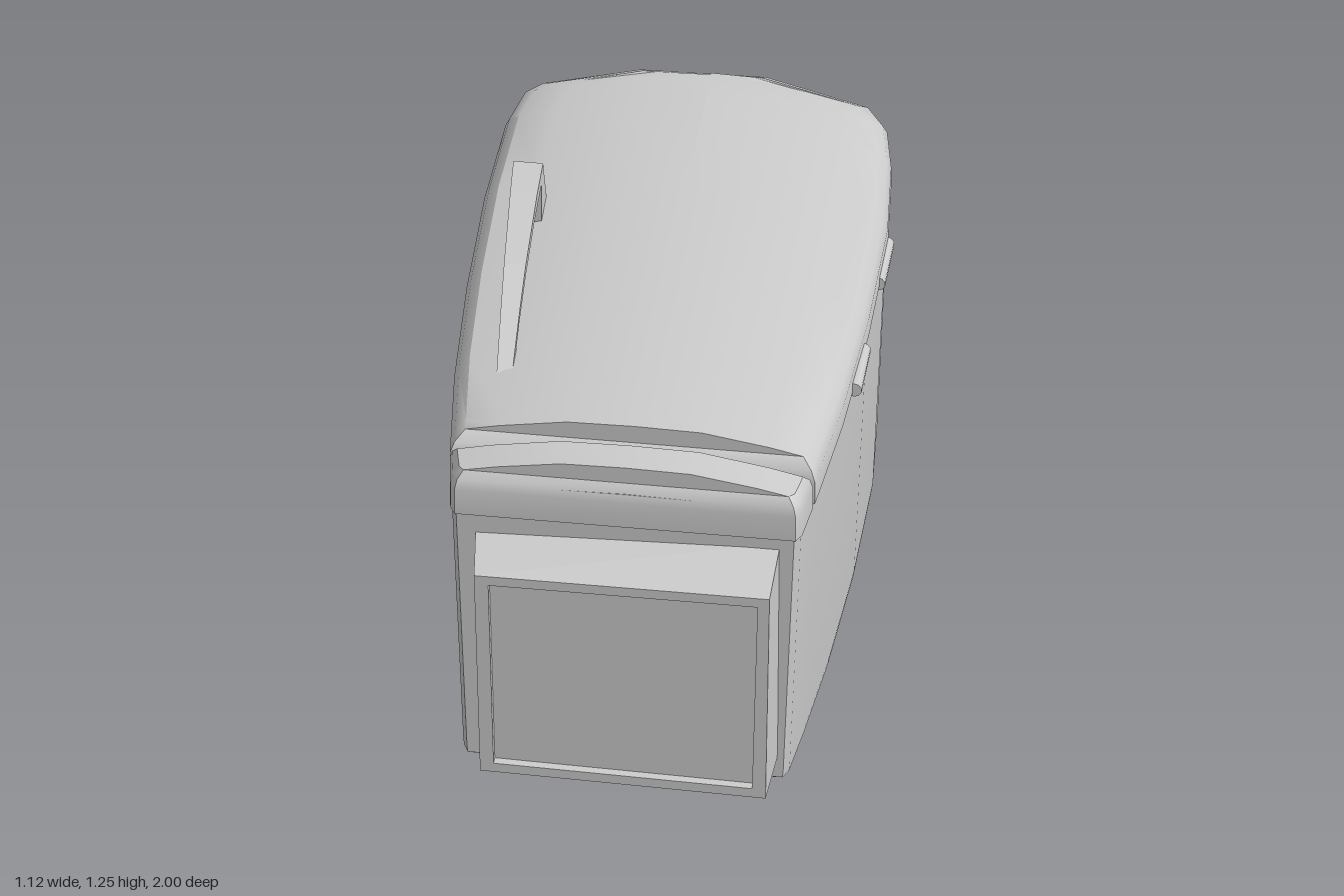
import * as THREE from 'three';
import { toCreasedNormals } from 'three/addons/utils/BufferGeometryUtils.js';

const material = new THREE.MeshStandardMaterial({ color: 0xcccccc });

// Plan of the case as [x, z], counterclockwise from above
const PLAN = [
  [0.47, 0.82], [0.485, 0.79], [0.505, 0.6], [0.53, 0.3], [0.547, -0.1], [0.545, -0.5],
  [0.52, -0.76], [0.49, -0.9], [0.44, -0.96], [0.15, -1], [-0.2, -0.99], [-0.47, -0.96],
  [-0.515, -0.93], [-0.545, -0.82], [-0.56, -0.5], [-0.555, -0.1], [-0.535, 0.3],
  [-0.505, 0.6], [-0.48, 0.79], [-0.465, 0.82],
];

// Skin over a list of equal-length rings of [x, y, z]
function loft(rings, crease = 0.5) {
  const n = rings[0].length, index = [];
  for (let r = 0; r < rings.length - 1; r++) {
    for (let i = 0; i < n; i++) {
      const a = r * n + i, b = r * n + (i + 1) % n;
      index.push(a, b, b + n, a, b + n, a + n);
    }
  }
  const g = new THREE.BufferGeometry();
  g.setAttribute('position', new THREE.Float32BufferAttribute(rings.flat(2), 3));
  g.setIndex(index);
  return toCreasedNormals(g, crease);
}

// Piecewise linear lookup
function lerpTable(table, t) {
  const i = Math.max(1, table.findIndex(([k]) => k >= t));
  const [[a, u], [b, v]] = [table[i - 1], table[i]];
  return u + (v - u) * (t - a) / (b - a);
}

const crown = (x, z) => 1.112 - 0.013 * z
  - lerpTable([[0, 0], [0.2, 0.004], [0.4, 0.04], [0.5, 0.065], [2, 0.6]], Math.abs(x));
const seam = (x, z) => 0.93 - 0.015 * z;

// Ring from a plan, pulled in by a distance, narrowed in x, at height y(x, z)
function ring(plan, inset, sx, y) {
  const zs = plan.map((p) => p[1]);
  const zMid = (Math.max(...zs) + Math.min(...zs)) / 2, hz = Math.max(...zs) - zMid;
  return plan.map(([px, pz]) => {
    const x = px * (1 - inset / 0.54) * sx, z = zMid + (pz - zMid) * (1 - inset / hz);
    return [x, typeof y === 'function' ? y(x, z) : y, z];
  });
}

function lidPiece(plan, inset) {
  const lower = (d) => (x, z) => crown(x, z) - d;
  return loft([
    ring(plan, 0, 1, seam), ring(plan, 0, 1, lower(0.045)), ring(plan, inset * 0.3, 1, lower(0.018)),
    ...[1, 0.8, 0.4, 0].map((s) => ring(plan, inset, s, crown)),
  ]);
}

const rectPoints = (x, z, w, d) => [[-1, -1], [1, -1], [1, 1], [-1, 1]]
  .map(([i, j]) => new THREE.Vector2(x + i * w / 2, z + j * d / 2));

export function createModel() {
  const model = new THREE.Group();
  const add = (name, geometry, x = 0, y = 0, z = 0) => {
    const mesh = new THREE.Mesh(geometry, material);
    mesh.name = name;
    mesh.position.set(x, y, z);
    model.add(mesh);
    return mesh;
  };
  const box = (name, w, h, d, x, y, z) => add(name, new THREE.BoxGeometry(w, h, d), x, y, z);

  // Tapered case with a chamfered lower edge
  add('body', loft([
    ring(PLAN, 0.03, 0, 0.085), ring(PLAN, 0.03, 0.93, 0.085), ring(PLAN, 0.005, 0.93, 0.105),
    ring(PLAN, 0.005, 0.935, 0.125), ring(PLAN, 0.005, 1, seam), ring(PLAN, 0.005, 0, seam),
  ]));

  // Lid: groove floor, long rear cover and short front cover
  add('lidBase', loft([
    ring(PLAN, 0.006, 1, seam),
    ...[1, 0.8, 0.4, 0].map((s) => ring(PLAN, 0.006, s, (x, z) => crown(x, z) - 0.075)),
  ]));
  add('rearLid', lidPiece([[0.5, 0.65], ...PLAN.filter((p) => p[1] < 0.62), [-0.5, 0.65]], 0.04));
  add('frontLid', lidPiece([[0.47, 0.82], [0.485, 0.79], [0.497, 0.67],
    [-0.497, 0.67], [-0.48, 0.79], [-0.465, 0.82]], 0.025));

  // Framed screen housing: back, front edge, inner edge, recessed panel
  const quads = [
    [[-0.375, 0.16], [0.42, 0.17], [0.425, 0.885], [-0.41, 0.858], 0.79],
    [[-0.37, 0.187], [0.412, 0.17], [0.423, 0.85], [-0.387, 0.85], 1],
    [[-0.333, 0.215], [0.375, 0.2], [0.39, 0.82], [-0.348, 0.82], 1],
    [[-0.333, 0.215], [0.375, 0.2], [0.39, 0.82], [-0.348, 0.82], 0.975],
    [[0.02, 0.51], [0.02, 0.51], [0.02, 0.51], [0.02, 0.51], 0.975],
  ].map((q) => q.slice(0, 4).map(([x, y]) => [x, y, q[4]]));
  add('screenHousing', loft(quads, 0.1));

  // Arched handle, wider at its rear post
  const profile = [[0.38, 1.06], [0.3, 1.1], [0.2, 1.148], [0.06, 1.2], [-0.2, 1.245], [-0.335, 1.25],
    [-0.42, 1.06], [-0.3, 1.06], [-0.3, 1.205], [-0.14, 1.2], [0.06, 1.165], [0.21, 1.115], [0.31, 1.06]];
  const handle = new THREE.ExtrudeGeometry(
    new THREE.Shape(profile.map(([z, y]) => new THREE.Vector2(z, y))), { depth: 1, bevelEnabled: false });
  handle.rotateY(-Math.PI / 2);
  const p = handle.attributes.position;
  for (let i = 0; i < p.count; i++) {
    const z = p.getZ(i), bow = 0.012 * (z + 0.4) * 1.2;
    p.setX(i, -0.378 + bow + p.getX(i) * (0.063 - 0.055 * z));
  }
  handle.computeVertexNormals();
  add('handle', handle);

  // Hinges on the left side
  for (const z of [0.06, -0.42]) {
    const pin = new THREE.CylinderGeometry(0.022, 0.022, 0.185, 10).rotateX(Math.PI / 2);
    add('hinge', pin, 0.54, 0.937, z);
  }

  // Stepped foot under the case
  const footRing = (sx, sz, y) => PLAN.map(([x, z]) => [x * sx, y, (z + 0.09) * sz - 0.095]);
  add('foot', loft([
    footRing(0, 0.8, 0.045), footRing(0.76, 0.8, 0.045), footRing(0.8, 0.84, 0.06), footRing(0.81, 0.85, 0.09),
  ]));

  // Base plate with vent slots, front grille and connector recess cut through
  const plate = new THREE.Shape(footRing(0.745, 0.785, 0).map(([x, , z]) => new THREE.Vector2(x, z)));
  const cut = (...r) => plate.holes.push(new THREE.Path(rectPoints(...r)));
  for (let i = 0; i < 6; i++) cut(0, -0.28 + i * 0.1, 0.54, 0.03);
  for (let i = 0; i < 4; i++) cut(-0.25, 0.46 + i * 0.03, 0.11, 0.01);
  cut(-0.17, -0.54, 0.24, 0.14);
  const plateGeo = new THREE.ExtrudeGeometry(plate, { depth: 0.012, bevelEnabled: false });
  add('basePlate', plateGeo.rotateX(Math.PI / 2), 0, 0.045, 0);
  for (const x of [-0.22, -0.12]) {
    add('connector', new THREE.CylinderGeometry(0.028, 0.028, 0.012, 6), x, 0.04, -0.54);
  }

  // Bent rail, service hatch and front divider on the base plate
  box('railSide', 0.025, 0.034, 0.32, 0.23, 0.017, -0.57);
  box('railBack', 0.46, 0.03, 0.025, 0.01, 0.02, -0.715);
  box('hatch', 0.24, 0.006, 0.18, 0.06, 0.032, 0.47);
  box('divider', 0.7, 0.006, 0.012, 0, 0.032, 0.33);
  return model;
}
